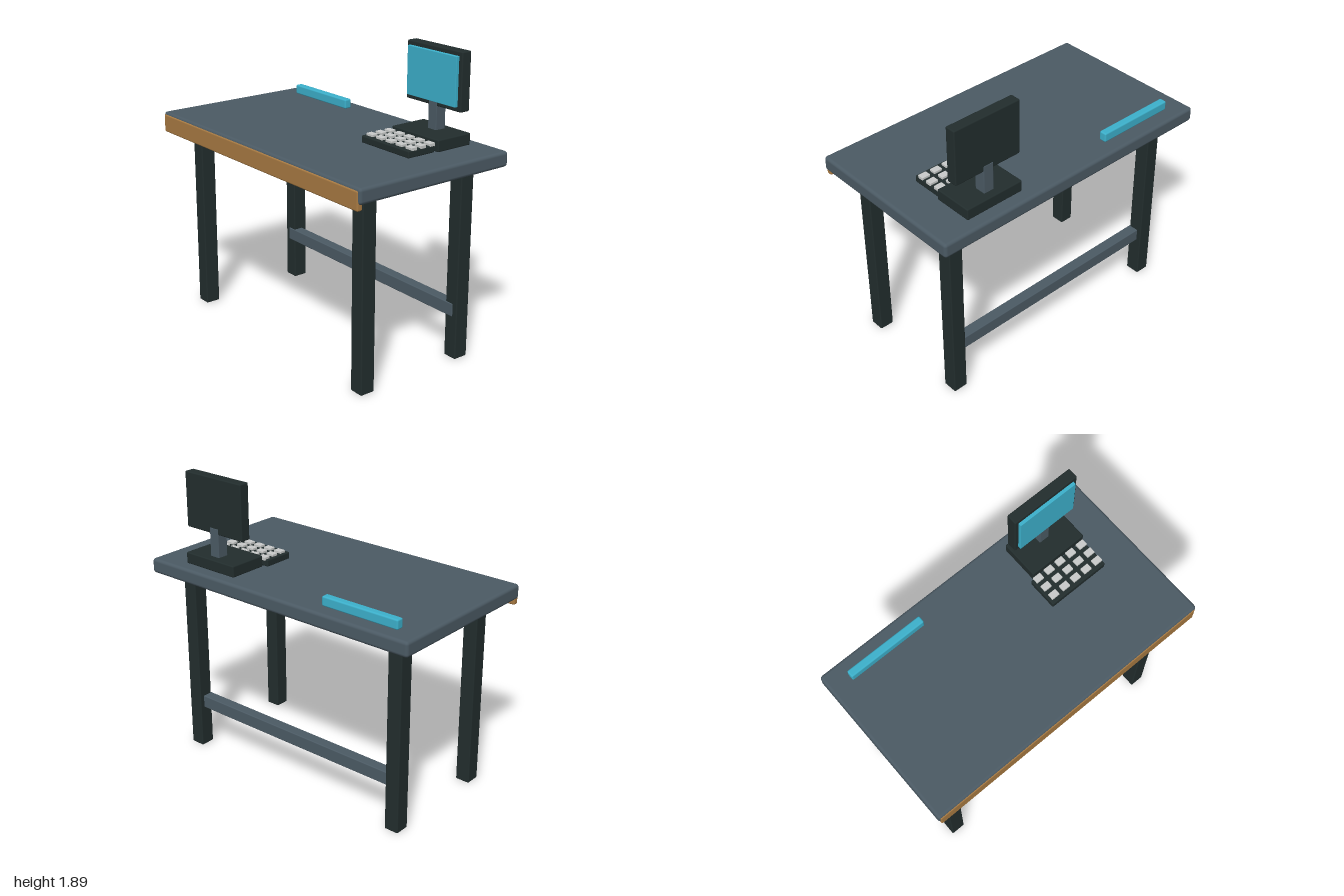
import * as THREE from 'three';
import { RoundedBoxGeometry } from 'three/addons/geometries/RoundedBoxGeometry.js';

const paint = (name, color) => {
  const m = new THREE.MeshStandardMaterial({ color });
  m.name = name;
  return m;
};

export function createModel() {
  const slate = paint('slate', 0x4b5a64);
  const dark = paint('dark', 0x222d2d);
  const wood = paint('wood', 0xa87a42);
  const cyan = paint('cyan', 0x3cb0cb);
  const keyGrey = paint('key grey', 0xc8cac9);

  const desk = new THREE.Group();
  desk.name = 'desk';

  // Bevelled box given by its extents on each axis
  const slab = (parent, name, mat, [x0, x1], [y0, y1], [z0, z1], bevel = 0.008) => {
    const geo = new RoundedBoxGeometry(x1 - x0, y1 - y0, z1 - z0, 2, bevel);
    const mesh = new THREE.Mesh(geo, mat);
    mesh.name = name;
    mesh.position.set((x0 + x1) / 2, (y0 + y1) / 2, (z0 + z1) / 2);
    parent.add(mesh);
    return mesh;
  };

  // Table top and wooden front edge
  slab(desk, 'tableTop', slate, [-1, 1], [1.225, 1.32], [-0.56, 0.555], 0.02);
  slab(desk, 'frontTrim', wood, [-0.99, 0.985], [1.188, 1.305], [0.522, 0.56], 0.01);

  // Legs
  for (const x of [-0.817, 0.817]) {
    for (const z of [-0.372, 0.37]) {
      slab(desk, 'leg', dark, [x - 0.048, x + 0.048], [0, 1.24], [z - 0.049, z + 0.049]);
    }
  }

  // Stretcher between the back legs
  slab(desk, 'stretcher', slate, [-0.83, 0.83], [0.275, 0.36], [-0.39, -0.318], 0.006);

  // Strip lying on the back of the top
  slab(desk, 'strip', cyan, [-0.86, -0.32], [1.318, 1.38], [-0.462, -0.412], 0.01);

  // Monitor on its stand
  const monitor = new THREE.Group();
  monitor.name = 'monitor';
  desk.add(monitor);
  slab(monitor, 'monitorBase', dark, [0.366, 0.77], [1.318, 1.392], [-0.476, -0.218]);
  slab(monitor, 'monitorStand', slate, [0.535, 0.605], [1.38, 1.575], [-0.426, -0.352], 0.004);
  slab(monitor, 'monitorCase', dark, [0.337, 0.803], [1.538, 1.893], [-0.424, -0.354]);
  slab(monitor, 'screen', cyan, [0.362, 0.776], [1.567, 1.866], [-0.37, -0.333], 0.003);

  // Keyboard with a grid of keys
  const keyboard = new THREE.Group();
  keyboard.name = 'keyboard';
  desk.add(keyboard);
  slab(keyboard, 'keyboardBody', dark, [0.337, 0.755], [1.318, 1.363], [-0.205, -0.003]);
  for (let row = 0; row < 3; row++) {
    for (let col = 0; col < 5; col++) {
      const x = 0.382 + col * 0.086;
      const z = -0.188 + row * 0.07;
      slab(keyboard, 'key', keyGrey, [x - 0.028, x + 0.028], [1.355, 1.378], [z - 0.021, z + 0.021], 0.003);
    }
  }

  return desk;
}
